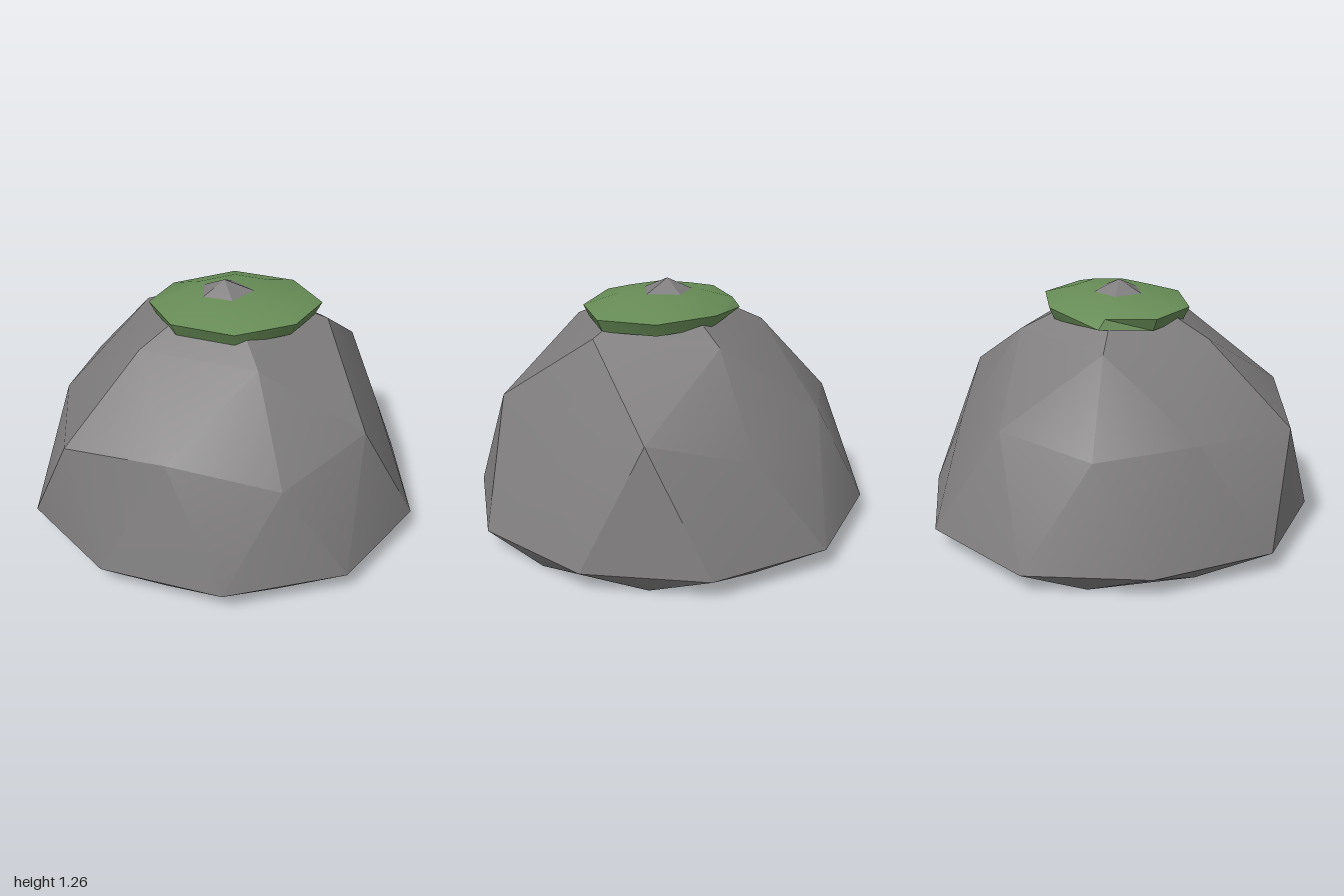
import * as THREE from 'three';
import { toCreasedNormals } from 'three/addons/utils/BufferGeometryUtils.js';

// Turns triangles (triples of [x, y, z] corners) into a mesh with soft faces and sharp creases
function facetMesh(name, tris, material, crease) {
  const geo = new THREE.BufferGeometry();
  geo.setAttribute('position', new THREE.Float32BufferAttribute(tris.flat(2), 3));
  const mesh = new THREE.Mesh(toCreasedNormals(geo, crease), material);
  mesh.name = name;
  return mesh;
}

// Joins two rings of equal count; lower[k] sits between upper[k] and upper[k + 1]
function band(upper, lower) {
  const n = upper.length;
  return upper.flatMap((u, k) => {
    const j = (k + 1) % n;
    return [[u, upper[j], lower[k]], [lower[k], upper[j], lower[j]]];
  });
}

// Closes a ring with a fan facing up or down
function cap(ring, centre, up) {
  return ring.map((p, k) => {
    const q = ring[(k + 1) % ring.length];
    return up ? [centre, q, p] : [centre, p, q];
  });
}

const level = (y, points) => points.map(([x, z]) => [x, y, z]);

function rockTriangles() {
  const peak = [0, 1.26, 0.02];
  const crown = [[0.51, 1.06, 0.03], [0.16, 1.02, 0.5], [-0.4, 1.02, 0.3],
    [-0.4, 1.02, -0.27], [0.15, 1.03, -0.45]];
  const shoulder = [[0.79, 0.57, 0.02], [0.67, 0.7, 0.52], [0.27, 0.6, 0.86], [-0.26, 0.7, 0.8],
    [-0.75, 0.63, 0.56], [-0.8, 0.66, 0.02], [-0.69, 0.63, -0.47], [-0.26, 0.68, -0.74],
    [0.25, 0.57, -0.75], [0.7, 0.72, -0.48]];
  const waist = level(0.11, [[0.96, 0.34], [0.59, 0.84], [0, 1], [-0.58, 0.81], [-0.96, 0.34],
    [-0.92, -0.28], [-0.61, -0.8], [0, -1], [0.59, -0.79], [0.94, -0.29]]);
  const foot = level(0, [[0.69, 0.5], [0.27, 0.81], [-0.26, 0.8], [-0.69, 0.5], [-0.82, 0],
    [-0.69, -0.5], [-0.26, -0.76], [0.26, -0.76], [0.7, -0.5], [0.88, 0.03]]);

  const tris = cap(crown, peak, true);
  // Each crown corner spreads to three shoulder corners
  crown.forEach((t, k) => {
    const a = shoulder[(2 * k + 9) % 10], b = shoulder[2 * k], c = shoulder[2 * k + 1];
    tris.push([t, b, a], [t, c, b], [t, crown[(k + 1) % 5], c]);
  });
  tris.push(...band(shoulder, waist));
  // The foot is turned half a step against the waist
  tris.push(...band(waist, [...foot]));
  tris.push(...cap(foot, [0, 0, 0], false));
  return tris;
}

function mossTriangles() {
  const centre = [0.05, 0.02];
  const outline = [[0.48, 0.03], [0.34, 0.27], [0.05, 0.39], [-0.25, 0.28],
    [-0.37, 0.03], [-0.26, -0.19], [0.05, -0.34], [0.35, -0.23]];
  // Shrinks the outline towards its centre
  const ring = (y, s) => level(y, outline.map(([x, z]) =>
    [centre[0] + (x - centre[0]) * s, centre[1] + (z - centre[1]) * s]));
  const top = ring(1.198, 0.55), rim = ring(1.145, 1), under = ring(1.08, 0.92);
  under[5] = [-0.27, 1.1, -0.23];
  return [
    ...cap(top, [centre[0], 1.205, centre[1]], true),
    ...band(top, rim),
    ...band(rim, under),
    ...cap(under, [centre[0], 1.07, centre[1]], false),
  ];
}

export function createModel() {
  const stone = new THREE.MeshStandardMaterial({ color: 0x7f7d7d });
  stone.name = 'stone grey';
  const green = new THREE.MeshStandardMaterial({ color: 0x678c56 });
  green.name = 'moss green';

  const model = new THREE.Group();
  model.name = 'mossyRock';
  model.add(facetMesh('rock', rockTriangles(), stone, Math.PI / 6));
  model.add(facetMesh('mossCap', mossTriangles(), green, Math.PI / 4));
  return model;
}
